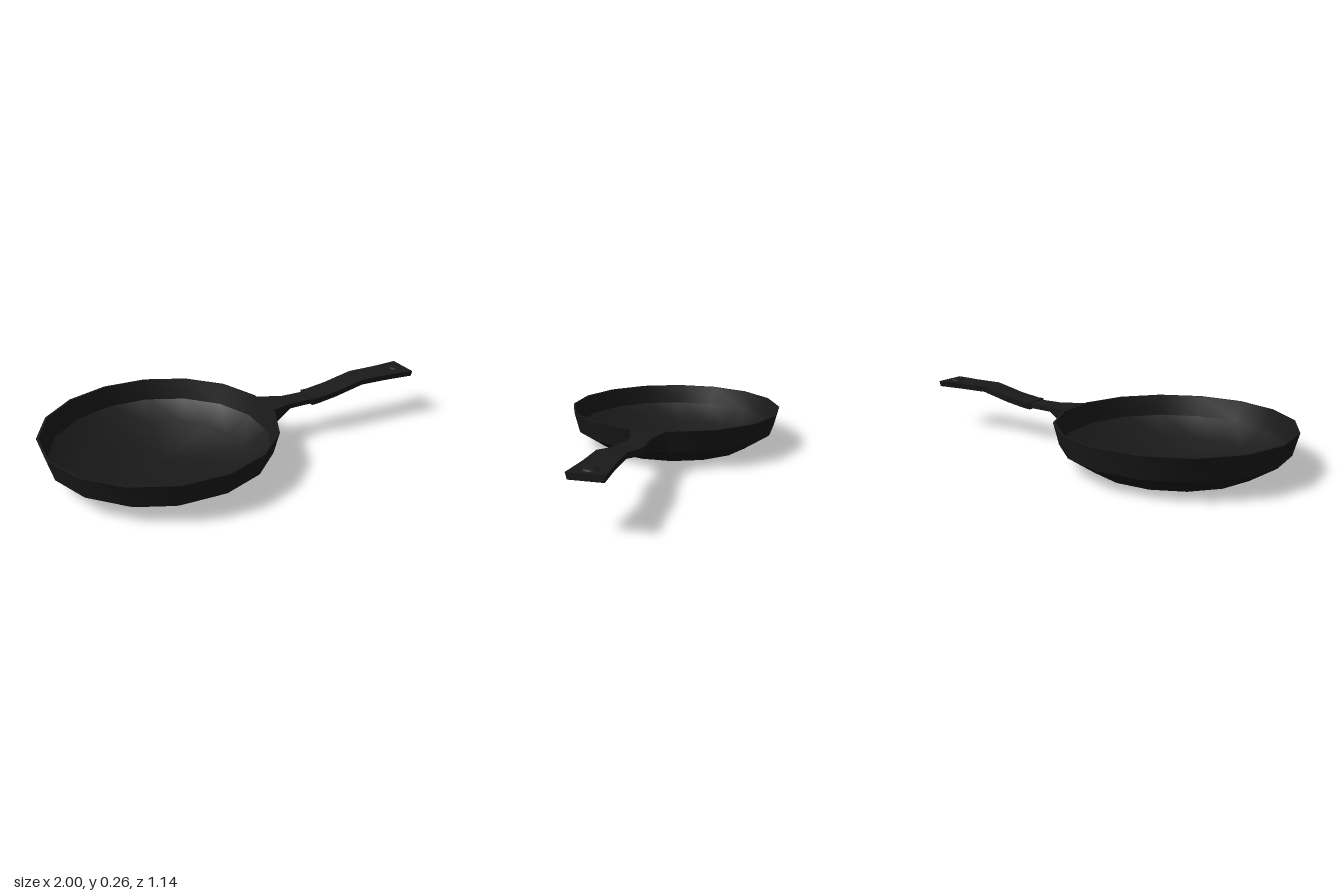
import * as THREE from 'three';
import { toCreasedNormals } from 'three/addons/utils/BufferGeometryUtils.js';

const PAN_X = -0.432;
const SIDES = 16;

// Lofts four-cornered sections [xTop, xBottom, yBottom, yTop, halfTop, halfBottom] along x
function loft(sections) {
  const pos = [];
  const rings = sections.map(([xt, xb, yb, yt, ht, hb]) => [
    [xt, yt, ht], [xt, yt, -ht], [xb, yb, -hb], [xb, yb, hb],
  ]);
  const quad = (a, b, c, d) => pos.push(...a, ...b, ...c, ...a, ...c, ...d);
  for (let i = 0; i < rings.length - 1; i++) {
    const p = rings[i], q = rings[i + 1];
    for (let k = 0; k < 4; k++) {
      const n = (k + 1) % 4;
      quad(p[k], q[k], q[n], p[n]);
    }
  }
  const s = rings[0], e = rings[rings.length - 1];
  quad(s[0], s[1], s[2], s[3]);
  quad(e[3], e[2], e[1], e[0]);
  const geo = new THREE.BufferGeometry();
  geo.setAttribute('position', new THREE.Float32BufferAttribute(pos, 3));
  return toCreasedNormals(geo, 0.5);
}

export function createModel() {
  const group = new THREE.Group();
  const black = new THREE.MeshStandardMaterial({ color: 0x1a1a1a });

  const add = (name, geo) => {
    const mesh = new THREE.Mesh(geo, black);
    mesh.name = name;
    group.add(mesh);
    return mesh;
  };

  // Pan body: outer wall, thin rim, inner wall and cooking floor
  const profile = [
    [0, 0], [0.415, 0], [0.551, 0.09], [0.579, 0.2],
    [0.568, 0.2], [0.541, 0.095], [0.411, 0.01], [0, 0.01],
  ].map(([r, y]) => new THREE.Vector2(r, y));
  const body = new THREE.LatheGeometry(profile, SIDES, Math.PI / SIDES);
  add('panBody', toCreasedNormals(body, 0.62)).position.x = PAN_X;

  // Neck: flares against the pan wall and narrows to the grip
  add('handleNeck', loft([
    [0.13, 0.1, 0.09, 0.2, 0.095, 0.095],
    [0.26, 0.26, 0.167, 0.196, 0.052, 0.05],
    [0.41, 0.41, 0.172, 0.196, 0.052, 0.05],
  ]));

  // Grip: bends upward and widens to its end
  add('handleGrip', loft([
    [0.383, 0.383, 0.165, 0.202, 0.065, 0.06],
    [0.42, 0.42, 0.168, 0.203, 0.065, 0.06],
    [0.53, 0.53, 0.187, 0.219, 0.066, 0.061],
    [0.69, 0.69, 0.225, 0.255, 0.067, 0.062],
    [0.85, 0.85, 0.225, 0.255, 0.07, 0.065],
    [1.0, 1.0, 0.225, 0.255, 0.083, 0.076],
  ]));

  // Small domed button near the end of the grip
  const dome = new THREE.SphereGeometry(0.036, 12, 4, 0, Math.PI * 2, 0, Math.PI / 2);
  const button = add('gripButton', dome);
  button.scale.y = 0.3;
  button.position.set(0.945, 0.254, 0);

  return group;
}
